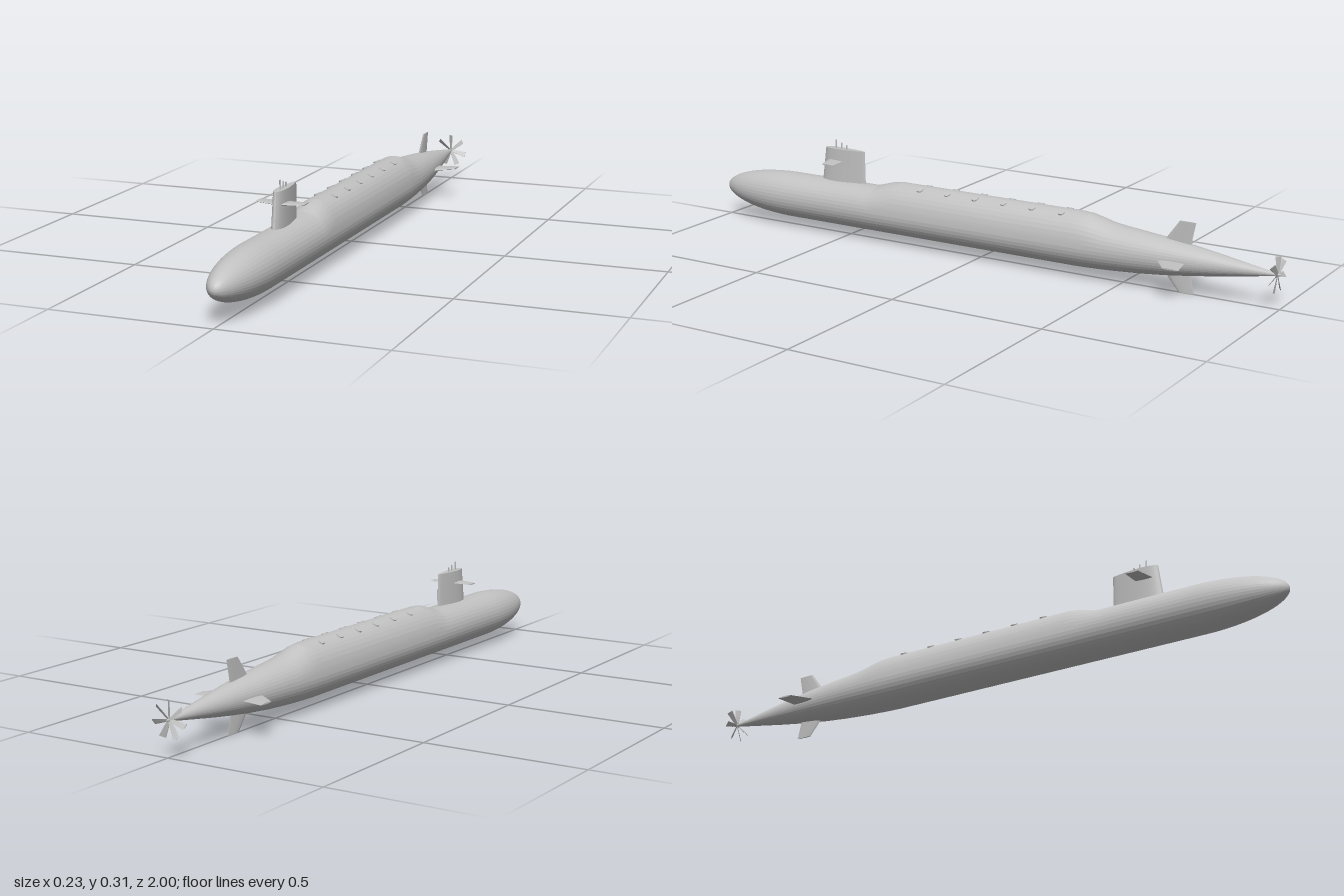
import * as THREE from 'three';
import { toCreasedNormals } from 'three/addons/utils/BufferGeometryUtils.js';

const AXIS = 0.103; // height of the hull centreline
const V = (x, y, z) => new THREE.Vector3(x, y, z);

// Skin a list of closed rings and cap both ends, facing outwards
function loft(rings, crease) {
  const n = rings[0].length, pts = rings.flat(), idx = [];
  for (let r = 0; r < rings.length - 1; r++) {
    for (let i = 0; i < n; i++) {
      const a = r * n + i, b = r * n + (i + 1) % n;
      idx.push(a, b, b + n, a, b + n, a + n);
    }
  }
  const last = (rings.length - 1) * n;
  for (let i = 1; i < n - 1; i++) {
    idx.push(0, i + 1, i, last, last + i, last + i + 1);
  }
  // A negative enclosed volume means the winding must be reversed
  let volume = 0;
  const c = V(0, 0, 0);
  for (let i = 0; i < idx.length; i += 3) {
    volume += pts[idx[i]].dot(c.crossVectors(pts[idx[i + 1]], pts[idx[i + 2]]));
  }
  if (volume < 0) idx.reverse();
  const geo = new THREE.BufferGeometry().setFromPoints(pts);
  geo.setIndex(idx);
  return toCreasedNormals(geo, crease);
}

// Teardrop section in the x-z plane, rounded at the front and thin at the back
function foil(y, zFront, zBack, half, n = 20) {
  return Array.from({ length: n }, (_, i) => {
    const a = i / n * Math.PI * 2, c = (1 - Math.cos(a)) / 2;
    return V(Math.sin(a) * half * 1.35 * (1 - 0.6 * c), y, zFront + (zBack - zFront) * c);
  });
}

export function createModel() {
  const model = new THREE.Group();
  const grey = new THREE.MeshStandardMaterial({ color: 0xc2c2c2 });
  grey.name = 'hull grey';
  const add = (name, geo, parent = model) => {
    const mesh = new THREE.Mesh(geo, grey);
    mesh.name = name;
    parent.add(mesh);
    return mesh;
  };

  // Hull stations: z, radius, extra height of the raised missile deck
  const stations = [];
  for (let i = 0; i <= 24; i++) {
    const a = (0.01 + 0.99 * i / 24) * Math.PI / 2;
    stations.push([0.72 + 0.28 * Math.cos(a), 0.0743 * Math.sin(a), 0]);
  }
  stations.push(
    [0.41, 0.0743, 0], [0.385, 0.0743, 0.003], [0.335, 0.0743, 0.018], [0.3, 0.0743, 0.0235],
    [-0.35, 0.0743, 0.0235], [-0.385, 0.0735, 0.022], [-0.42, 0.0722, 0.015],
    [-0.46, 0.0705, 0.006], [-0.5, 0.068, 0.003], [-0.56, 0.064, 0.001], [-0.64, 0.0565, 0],
    [-0.72, 0.0465, 0], [-0.8, 0.035, 0], [-0.88, 0.022, 0], [-0.95, 0.0105, 0], [-0.995, 0.003, 0]
  );
  const sides = 40;
  add('hull', loft(stations.map(([z, r, rise]) => Array.from({ length: sides }, (_, i) => {
    const a = i / sides * Math.PI * 2, s = Math.sin(a);
    return V(Math.cos(a) * r, AXIS + s * (s > 0 ? r + rise : r), z);
  })), 0.13));

  // Missile hatches in two rows along the raised deck
  const hatches = new THREE.Group();
  hatches.name = 'missileHatches';
  model.add(hatches);
  const hatchGeo = new THREE.CylinderGeometry(0.011, 0.011, 0.005, 16);
  for (const side of [-1, 1]) {
    for (let i = 0; i < 6; i++) {
      const hatch = add('hatch', hatchGeo, hatches);
      hatch.position.set(side * 0.028, 0.1935, 0.21 - i * 0.102);
      hatch.rotation.z = -side * 0.4;
    }
  }

  // Sail with its diving planes and masts
  add('sail', loft([foil(0.165, 0.608, 0.438, 0.0165, 28), foil(0.283, 0.592, 0.44, 0.0145, 28)], 0.5));
  const planeGeo = loft([foil(0, 0.58, 0.522, 0.003), foil(0.074, 0.558, 0.517, 0.002)], 0.5);
  for (const side of [-1, 1]) {
    const plane = add(side > 0 ? 'leftSailPlane' : 'rightSailPlane', planeGeo);
    plane.rotation.z = -side * Math.PI / 2;
    plane.position.y = 0.243;
  }
  for (const [z, top] of [[0.553, 0.31], [0.531, 0.302], [0.511, 0.296]]) {
    const mast = add('mast', new THREE.CylinderGeometry(0.0026, 0.0026, top - 0.27, 10));
    mast.position.set(0, (top + 0.27) / 2, z);
  }

  // Four tail fins in a cross
  const finGeo = loft([foil(0.03, -0.618, -0.715, 0.0036), foil(0.115, -0.68, -0.732, 0.0024)], 0.5);
  ['upperRudder', 'rightTailPlane', 'lowerRudder', 'leftTailPlane'].forEach((name, i) => {
    const fin = add(name, finGeo);
    fin.rotation.z = i * Math.PI / 2;
    fin.position.y = AXIS;
    if (i === 2) fin.scale.y = 0.9;
  });

  // Seven-bladed propeller on the tail cone
  const propeller = new THREE.Group();
  propeller.name = 'propeller';
  propeller.position.set(0, AXIS, -0.99);
  model.add(propeller);
  const bladeGeo = loft([[0.002, 0.008, 1.1], [0.025, 0.014, 1.0], [0.055, 0.02, 0.9]].map(
    ([y, chord, pitch]) => foil(y, chord / 2, -chord / 2, 0.0011, 12)
      .map(p => p.applyAxisAngle(V(0, 1, 0), pitch))), 0.5);
  for (let i = 0; i < 7; i++) {
    add('blade', bladeGeo, propeller).rotation.z = i / 7 * Math.PI * 2;
  }
  const hub = add('hub', new THREE.CylinderGeometry(0.0055, 0.003, 0.016, 16), propeller);
  hub.rotation.x = Math.PI / 2;
  hub.position.z = -0.002;

  return model;
}
